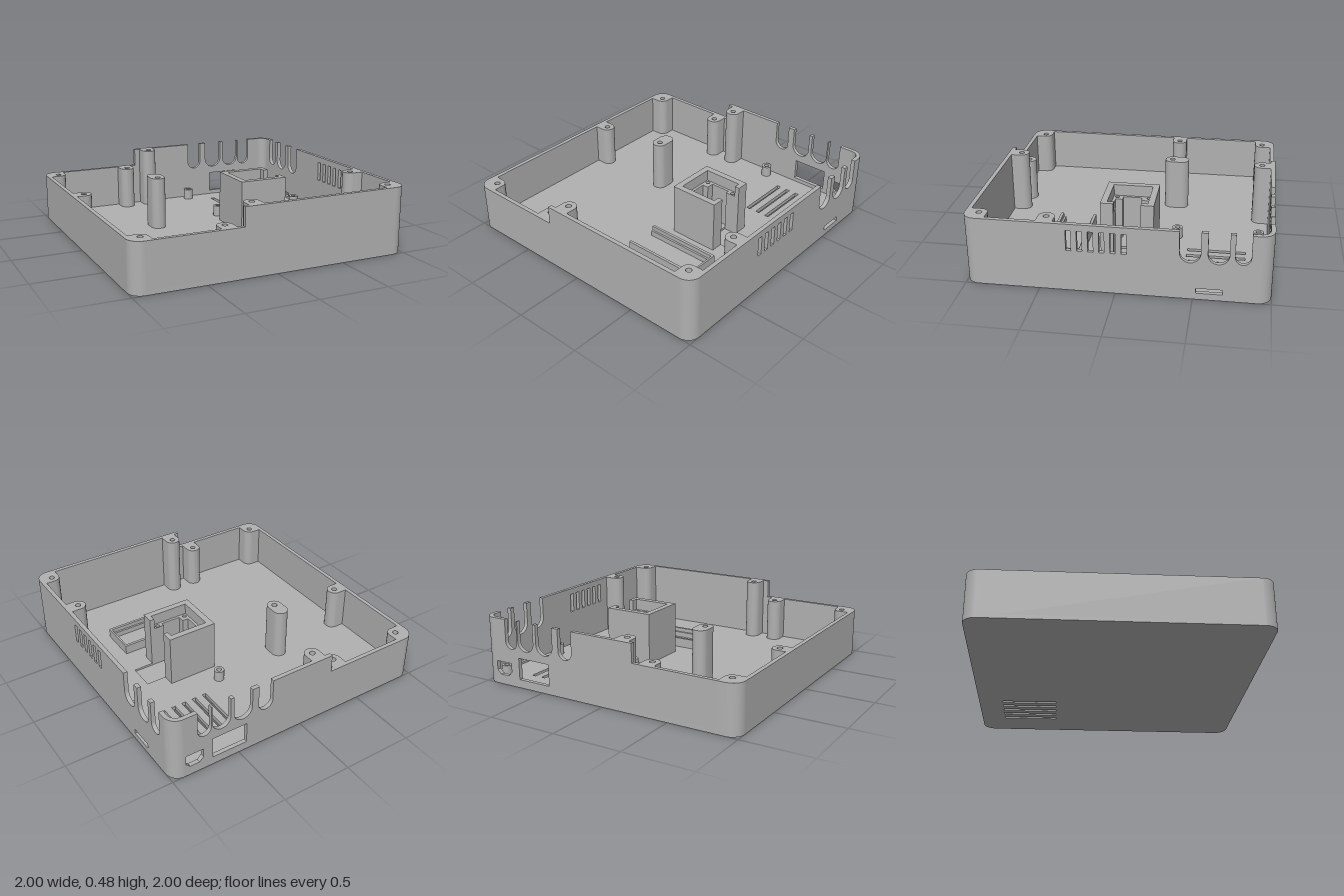
import * as THREE from 'three';
import { toCreasedNormals } from 'three/addons/utils/BufferGeometryUtils.js';

const LOW = 0.345, HIGH = 0.477, FLOOR = 0.03, T = 0.03, R = 0.09, STEP = -0.24;
const BOSS_R = 0.055, HOLE_R = 0.02;

export function createModel() {
  const model = new THREE.Group();
  model.name = 'openEnclosure';
  const grey = new THREE.MeshStandardMaterial({ color: 0xb0b0b0 });
  grey.name = 'grey plastic';

  function add(name, geometry, parent = model) {
    const mesh = new THREE.Mesh(toCreasedNormals(geometry, 0.5), grey);
    mesh.name = name;
    parent.add(mesh);
    return mesh;
  }
  const extrude = (shape, depth) =>
    new THREE.ExtrudeGeometry(shape, { depth, bevelEnabled: false, curveSegments: 12 });
  // Plan shapes use (x, -z) and rise from y0 to y1
  const plan = (shape, y0, y1) => extrude(shape, y1 - y0).rotateX(-Math.PI / 2).translate(0, y0, 0);
  const polygon = (pts) => new THREE.Shape(pts.map(([a, b]) => new THREE.Vector2(a, b)));
  const planPolygon = (pts) => polygon(pts.map(([x, z]) => [x, -z]));
  const rect = (x0, y0, x1, y1) => polygon([[x0, y0], [x1, y0], [x1, y1], [x0, y1]]);
  function circle(x, y, r) {
    const p = new THREE.Path();
    p.absarc(x, y, r, 0, Math.PI * 2, true);
    return p;
  }
  function roundedSquare() {
    const s = new THREE.Shape(), c = 1 - R;
    s.absarc(c, c, R, 0, Math.PI / 2);
    s.absarc(-c, c, R, Math.PI / 2, Math.PI);
    s.absarc(-c, -c, R, Math.PI, Math.PI * 1.5);
    s.absarc(c, -c, R, Math.PI * 1.5, Math.PI * 2);
    return s;
  }

  // Floor in two layers: vents go through both, the cable pocket only the upper one
  for (const [name, y0, y1] of [['floorBottom', 0, FLOOR / 2], ['floorTop', FLOOR / 2, FLOOR]]) {
    const s = roundedSquare();
    for (let i = 0; i < 5; i++) {
      const x = 0.397 + i * 0.083;
      s.holes.push(rect(x - 0.015, 0.415, x + 0.015, 0.82));
    }
    if (y0 > 0) s.holes.push(rect(0.415, -0.09, 0.67, 0.1));
    add(name, plan(s, y0, y1));
  }

  // Wall outline with a stepped top and U notches, listed from right to left
  function wallShape(a, b, stepAt, notches) {
    const s = new THREE.Shape();
    s.moveTo(a, 0);
    s.lineTo(b, 0);
    s.lineTo(b, HIGH);
    for (const [n0, n1, bottom] of notches) {
      const r = (n1 - n0) / 2;
      s.lineTo(n1, HIGH);
      s.lineTo(n1, bottom + r);
      s.absarc((n0 + n1) / 2, bottom + r, r, 0, -Math.PI, true);
      s.lineTo(n0, HIGH);
    }
    if (stepAt !== null) {
      s.lineTo(stepAt, HIGH);
      s.lineTo(stepAt, LOW);
      s.lineTo(a, LOW);
    } else s.lineTo(a, HIGH);
    s.closePath();
    return s;
  }
  const E = 1 - R;

  add('frontWall', extrude(wallShape(-E, E, STEP, []), T).translate(0, 0, 1 - T));

  const back = wallShape(-E, E, STEP,
    [[0.71, 0.81, 0.27], [0.565, 0.7, 0.27], [0.4, 0.54, 0.27], [0.24, 0.35, 0.27]]);
  back.holes.push(rect(0.44, 0.06, 0.7, 0.215));
  back.holes.push(polygon([[0.8, 0.07], [0.87, 0.07], [0.9, 0.1], [0.9, 0.165], [0.77, 0.165], [0.77, 0.1]]));
  add('backWall', extrude(back, T).translate(0, 0, -1));

  // Side wall drawn along -z, then turned to face +x
  const side = wallShape(-E, E, null,
    [[0.76, 0.86, 0.27], [0.59, 0.725, 0.262], [0.41, 0.545, 0.262]]);
  for (let i = 0; i < 6; i++) {
    const u = -0.3 + i * 0.0716;
    side.holes.push(rect(u - 0.017, 0.29, u + 0.017, 0.432));
  }
  side.holes.push(rect(0.52, 0.045, 0.69, 0.08));
  add('ventedSideWall', extrude(side, T).rotateY(Math.PI / 2).translate(1 - T, 0, 0));

  add('lowSideWall', new THREE.BoxGeometry(T, LOW, 2 * E).translate(-1 + T / 2, LOW / 2, 0));

  // Corner columns with a screw hole; shape is for the +x, -z corner and is turned
  function cornerColumn(angle, height) {
    const s = new THREE.Shape(), inner = 0.85;
    s.moveTo(inner, 1);
    s.lineTo(inner, inner + BOSS_R);
    s.absarc(inner + BOSS_R, inner + BOSS_R, BOSS_R, Math.PI, Math.PI * 1.5);
    s.lineTo(1, inner);
    s.lineTo(1, E);
    s.absarc(E, E, R, 0, Math.PI / 2);
    s.closePath();
    s.holes.push(circle(0.905, 0.905, HOLE_R));
    add('cornerColumn', plan(s, FLOOR, height)).rotation.y = angle;
    const base = new THREE.Shape();
    base.moveTo(E, E);
    base.absarc(E, E, R, 0, Math.PI / 2);
    base.closePath();
    add('cornerFoot', plan(base, 0, FLOOR)).rotation.y = angle;
  }
  cornerColumn(Math.PI / 2, LOW);
  cornerColumn(Math.PI, LOW);
  cornerColumn(-Math.PI / 2, HIGH);

  // Plain rounded corner beside the connector openings
  const bend = new THREE.Shape();
  bend.absarc(E, E, R, 0, Math.PI / 2);
  bend.absarc(E, E, R - T, Math.PI / 2, 0, true);
  bend.closePath();
  add('roundedCorner', plan(bend, 0, HIGH));

  // Screw posts with one rounded end and a straight or rounded tail
  function post(name, x, z, angle, height, tail, roundTail) {
    const s = new THREE.Shape();
    s.absarc(0, 0, BOSS_R, Math.PI, Math.PI * 2);
    if (roundTail) s.absarc(0, tail, BOSS_R, 0, Math.PI);
    else {
      s.lineTo(BOSS_R, tail);
      s.lineTo(-BOSS_R, tail);
    }
    s.closePath();
    s.holes.push(circle(0, 0, HOLE_R));
    const mesh = add(name, plan(s, FLOOR, height));
    mesh.position.set(x, 0, z);
    mesh.rotation.y = angle;
  }
  for (const [x, h] of [[-0.335, LOW], [-0.145, HIGH]]) {
    post('backWallPost', x, -0.905, 0, h, 0.08, false);
    post('frontWallPost', x, 0.902, Math.PI, h, 0.083, false);
  }
  post('lowSidePost', -0.905, -0.23, Math.PI / 2, LOW, 0.08, false);
  post('ventedSidePost', 0.902, 0.46, -Math.PI / 2, HIGH, 0.083, false);
  post('freePost', -0.335, -0.23, 0, 0.41, 0.07, true);

  // Board standoffs
  for (const x of [0.21, 0.9]) for (const z of [-0.905, -0.325]) {
    const s = new THREE.Shape();
    s.absarc(x, -z, 0.037, 0, Math.PI * 2);
    s.holes.push(circle(x, -z, 0.018));
    add('boardStandoff', plan(s, FLOOR, 0.11));
  }

  // Square tower, open on one side, with a screw ledge inside
  const tower = new THREE.Group();
  tower.name = 'tower';
  model.add(tower);
  const outer = [[0.525, -0.1], [0.525, -0.19], [0.16, -0.19], [0.16, 0.18], [0.525, 0.18], [0.525, 0.09]];
  const ledge = planPolygon([...outer, [0.415, 0.09], [0.415, 0.115], [0.27, 0.115], [0.27, 0.065],
    [0.225, 0.065], [0.225, -0.07], [0.27, -0.07], [0.27, -0.125], [0.415, -0.125], [0.415, -0.1]]);
  for (const x of [0.23, 0.455]) for (const z of [-0.12, 0.108]) ledge.holes.push(circle(x, -z, 0.015));
  add('towerLedge', plan(ledge, FLOOR, 0.33), tower);
  const rim = planPolygon([...outer, [0.49, 0.09], [0.49, 0.135], [0.205, 0.135],
    [0.205, -0.145], [0.49, -0.145], [0.49, -0.1]]);
  add('towerRim', plan(rim, 0.33, 0.412), tower);

  // U-shaped guide rail, with a thinner upper lip
  for (const [name, w, y0, y1] of [['guideRailBase', 0.035, FLOOR, 0.07], ['guideRailLip', 0.02, 0.07, 0.1]]) {
    add(name, plan(planPolygon([[0.075, 0.295], [0.63, 0.295], [0.63, 0.56], [0.075, 0.56],
      [0.075, 0.56 - w], [0.63 - w * 0.7, 0.56 - w], [0.63 - w * 0.7, 0.295 + w], [0.075, 0.295 + w]]), y0, y1));
  }

  return model;
}
